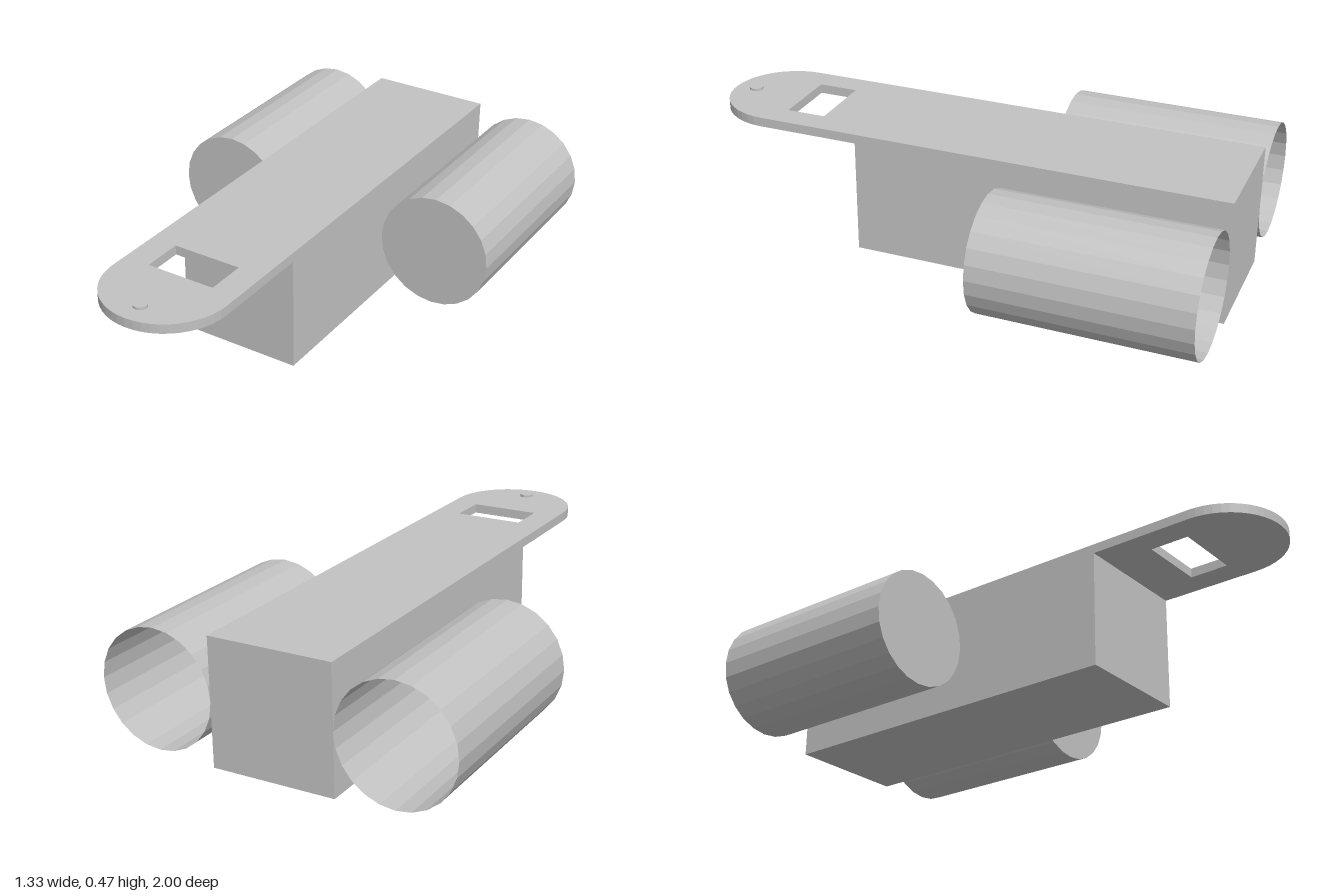
import * as THREE from 'three';

export function createModel() {
  const model = new THREE.Group();
  const grey = new THREE.MeshStandardMaterial({ color: 0xc2c2c2, flatShading: true, side: THREE.DoubleSide });
  grey.name = 'light grey';

  const add = (name, geometry, x, y, z, parent = model) => {
    const mesh = new THREE.Mesh(geometry, grey);
    mesh.name = name;
    mesh.position.set(x, y, z);
    parent.add(mesh);
    return mesh;
  };

  const halfWidth = 0.23, top = 0.463, bodyFront = 0.385;

  // Long box body
  add('body', new THREE.BoxGeometry(2 * halfWidth, top, bodyFront + 1), 0, top / 2, (bodyFront - 1) / 2);

  // Round-ended nose plate with a rectangular opening (shape y becomes z)
  const outline = new THREE.Shape();
  outline.moveTo(-halfWidth, bodyFront);
  outline.lineTo(halfWidth, bodyFront);
  outline.lineTo(halfWidth, 0.77);
  outline.absarc(0, 0.77, halfWidth, 0, Math.PI, false);
  outline.closePath();
  const opening = new THREE.Path();
  opening.moveTo(-0.13, 0.56);
  opening.lineTo(-0.13, 0.708);
  opening.lineTo(0.13, 0.708);
  opening.lineTo(0.13, 0.56);
  opening.closePath();
  outline.holes.push(opening);
  const plate = new THREE.ExtrudeGeometry(outline, { depth: 0.035, bevelEnabled: false, curveSegments: 12 });
  plate.rotateX(Math.PI / 2);
  add('nosePlate', plate, 0, top, 0);

  // Small stud near the tip
  add('stud', new THREE.CylinderGeometry(0.025, 0.025, 0.01, 24), 0, top + 0.004, 0.918);

  // Side drums: closed at the front, open at the back
  const radius = 0.217, length = 0.78;
  for (const side of [-1, 1]) {
    const drum = new THREE.Group();
    drum.name = side > 0 ? 'leftDrum' : 'rightDrum';
    drum.position.set(side * 0.447, 0.232, -1 + length / 2);
    model.add(drum);
    const shell = new THREE.CylinderGeometry(radius, radius, length, 24, 1, true).rotateX(Math.PI / 2);
    add('drumShell', shell, 0, 0, 0, drum);
    add('drumFrontCap', new THREE.CircleGeometry(radius, 24), 0, 0, length / 2, drum);
  }

  return model;
}
